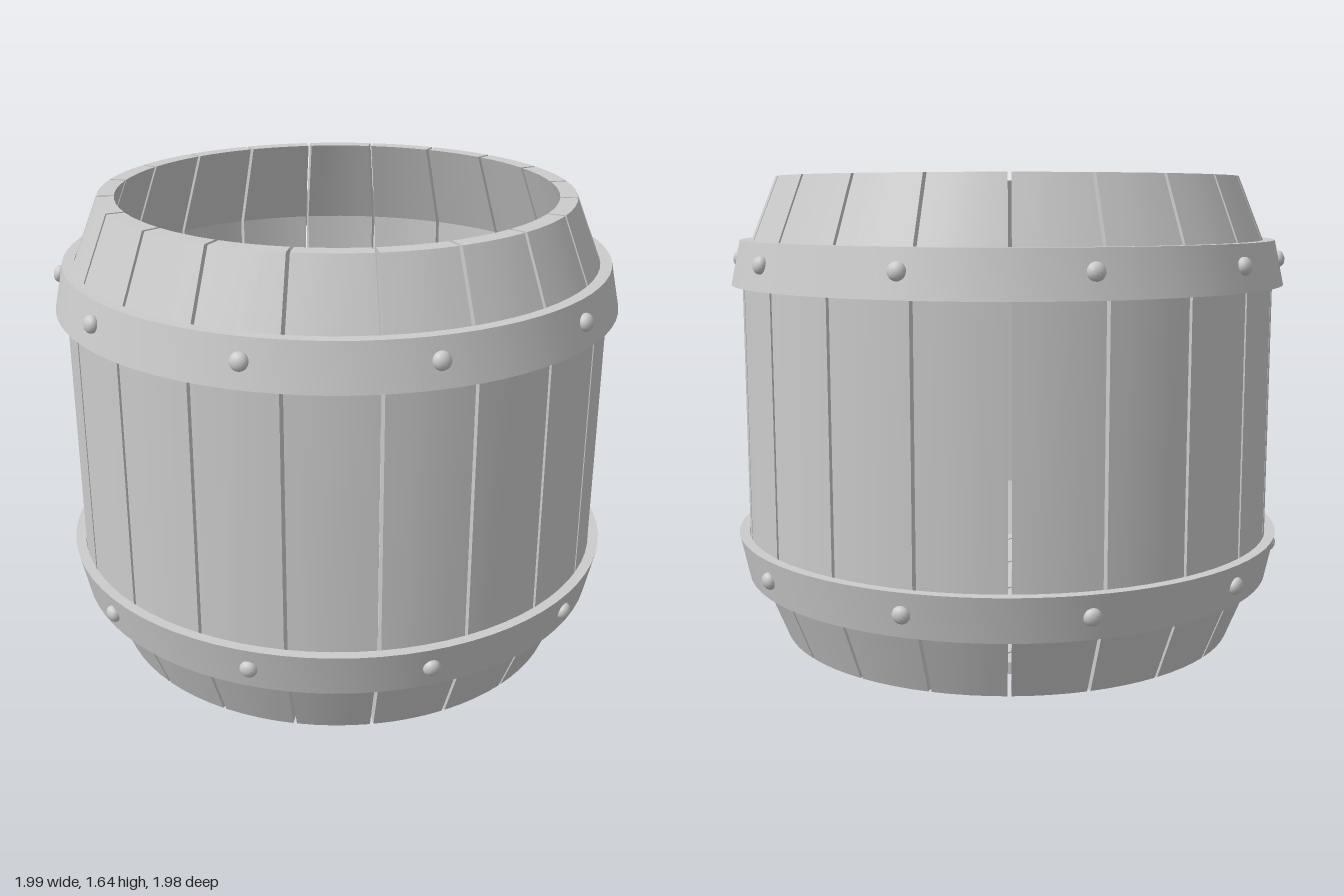
import * as THREE from 'three';
import { toCreasedNormals } from 'three/addons/utils/BufferGeometryUtils.js';

const HEIGHT = 1.64, STAVES = 20, GAP = 0.012;

// One stave: wall section extruded, then bent round the axis with a constant gap at each side
function staveGeometry() {
  const shape = new THREE.Shape([
    [0.825, 0], [0.95, 0.31], [0.95, HEIGHT - 0.31], [0.825, HEIGHT],
    [0.765, HEIGHT], [0.89, HEIGHT - 0.32], [0.89, 0.32], [0.765, 0],
  ].map(([r, y]) => new THREE.Vector2(r, y)));
  const geo = new THREE.ExtrudeGeometry(shape, { depth: 2, steps: 4, bevelEnabled: false });
  const pos = geo.attributes.position;
  for (let i = 0; i < pos.count; i++) {
    const r = pos.getX(i);
    const a = -(pos.getZ(i) - 1) * (Math.PI / STAVES - GAP / 2 / r);
    pos.setXYZ(i, r * Math.sin(a), pos.getY(i), r * Math.cos(a));
  }
  return toCreasedNormals(geo, 0.3);
}

// One floor plank: strip of a disc between x0 and x1
function plankGeometry(x0, x1, radius) {
  const front = [], back = [];
  for (let i = 0; i <= 8; i++) {
    const x = x0 + (x1 - x0) * i / 8;
    const z = Math.sqrt(Math.max(radius * radius - x * x, 0));
    front.push(new THREE.Vector2(x, -z));
    back.unshift(new THREE.Vector2(x, z));
  }
  const geo = new THREE.ExtrudeGeometry(new THREE.Shape([...front, ...back]), { depth: 0.04, bevelEnabled: false });
  return geo.rotateX(-Math.PI / 2);
}

// Conical hoop, optionally flipped top to bottom
function hoopGeometry(flip) {
  let profile = [[0.915, 0.22], [0.955, 0.22], [0.988, 0.375], [0.952, 0.375], [0.915, 0.22]];
  if (flip) profile = profile.map(([r, y]) => [r, HEIGHT - y]).reverse();
  const geo = new THREE.LatheGeometry(profile.map(([r, y]) => new THREE.Vector2(r, y)), 80);
  return toCreasedNormals(geo, 0.5);
}

export function createModel() {
  const model = new THREE.Group();
  model.name = 'barrel';
  const material = new THREE.MeshStandardMaterial({ color: 0xcccccc });
  const add = (parent, name, geometry) => {
    const mesh = new THREE.Mesh(geometry, material);
    mesh.name = name;
    parent.add(mesh);
    return mesh;
  };
  const addGroup = (name) => {
    const group = new THREE.Group();
    group.name = name;
    model.add(group);
    return group;
  };

  // Ring of staves
  const staves = addGroup('staves');
  const stave = staveGeometry();
  for (let i = 0; i < STAVES; i++) {
    add(staves, 'stave', stave).rotation.y = i * 2 * Math.PI / STAVES;
  }

  // Floor planks, recessed above the bottom rim
  const floor = addGroup('floor');
  const radius = 0.79, width = 0.246;
  for (let i = -4; i < 4; i++) {
    const x0 = Math.max(i * width + 0.004 - 0.005, -radius);
    const x1 = Math.min((i + 1) * width - 0.004 - 0.005, radius);
    add(floor, 'floorPlank', plankGeometry(x0, x1, radius)).position.y = 0.06;
  }

  // Hoops, each with ten rivets 35 degrees apart
  const rivet = new THREE.SphereGeometry(0.03, 16, 10).scale(1, 1, 0.75);
  for (const flip of [false, true]) {
    const hoop = addGroup(flip ? 'upperHoop' : 'lowerHoop');
    add(hoop, 'hoopBand', hoopGeometry(flip));
    const y = flip ? 1.35 : 0.3;
    for (let i = 0; i < 10; i++) {
      const a = THREE.MathUtils.degToRad(90 - 35 * i);
      const mesh = add(hoop, 'rivet', rivet);
      mesh.position.set(0.976 * Math.sin(a), y, 0.976 * Math.cos(a));
      mesh.rotation.set(flip ? -0.2 : 0.2, a, 0, 'YXZ');
    }
  }
  return model;
}
